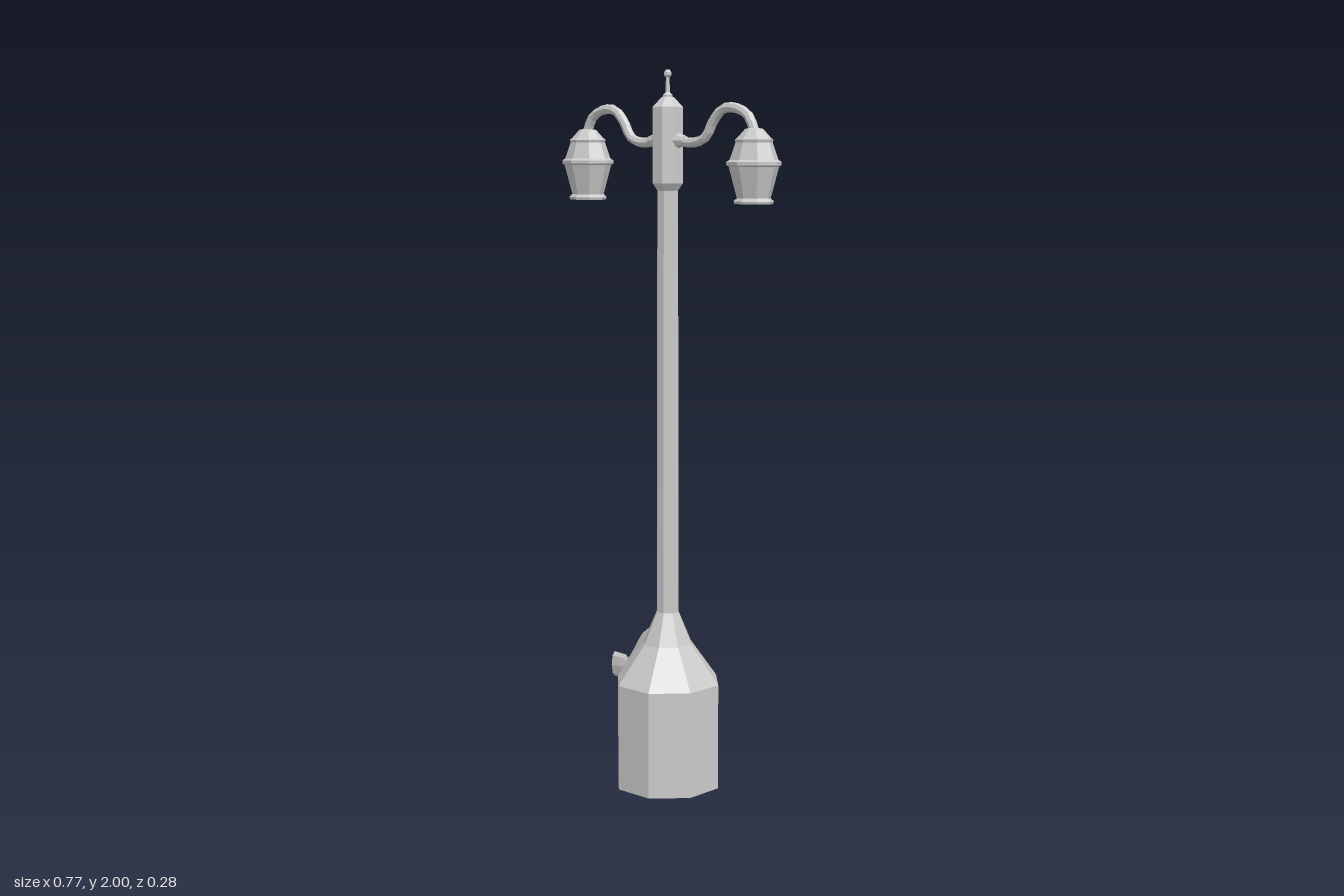
import * as THREE from 'three';

const metal = new THREE.MeshStandardMaterial({ color: 0xcccccc, flatShading: true });
const V = (x, y) => new THREE.Vector3(x, y, 0);

function add(parent, name, geometry) {
  const mesh = new THREE.Mesh(geometry, metal);
  mesh.name = name;
  parent.add(mesh);
  return mesh;
}

// Eight-sided turned part; profile radii are measured to the flats
function octagon(parent, name, profile) {
  const k = 1 / Math.cos(Math.PI / 8);
  const points = profile.map(([r, y]) => new THREE.Vector2(r * k, y));
  return add(parent, name, new THREE.LatheGeometry(points, 8, Math.PI / 8));
}

// Curved eight-sided pipe
function pipe(parent, name, points, radius, segments) {
  const curve = new THREE.CatmullRomCurve3(points.map(([x, y]) => V(x, y)));
  return add(parent, name, new THREE.TubeGeometry(curve, segments, radius, 8));
}

// Arm with its hanging lantern, built on the +x side
function createArm(side) {
  const arm = new THREE.Group();
  arm.name = side > 0 ? 'leftArm' : 'rightArm';
  pipe(arm, 'curvedArm', [
    [0.03, 1.81], [0.10, 1.805], [0.14, 1.82], [0.165, 1.86],
    [0.20, 1.893], [0.25, 1.894], [0.29, 1.873], [0.309, 1.835],
  ], 0.0135, 16);

  // Flared socket where the arm meets the head
  const socket = add(arm, 'armSocket', new THREE.CylinderGeometry(0.013, 0.022, 0.03, 8));
  socket.rotation.z = -Math.PI / 2;
  socket.position.set(0.052, 1.81, 0);

  // Lantern, slightly wider along the arm
  const profile = [
    [0, 1.645], [0.047, 1.645], [0.049, 1.652], [0.041, 1.66],
    [0.061, 1.742], [0.067, 1.746], [0.067, 1.755], [0.059, 1.76],
    [0.045, 1.805], [0.047, 1.812], [0.041, 1.817], [0.022, 1.84], [0, 1.845],
  ].map(([r, y]) => new THREE.Vector2(r, y));
  const lantern = add(arm, 'lantern', new THREE.LatheGeometry(profile, 8));
  lantern.position.x = 0.309;
  lantern.scale.x = 1.16;

  // A half turn mirrors the symmetric arm
  if (side < 0) arm.rotation.y = Math.PI;
  return arm;
}

export function createModel() {
  const model = new THREE.Group();
  model.name = 'streetLamp';

  // Pedestal and its concave shoulder
  octagon(model, 'base', [
    [0, 0], [0.14, 0], [0.14, 0.3], [0.066, 0.41], [0.03, 0.5],
  ]);
  octagon(model, 'pole', [[0.03, 0.49], [0.028, 1.7]]);
  octagon(model, 'head', [
    [0.028, 1.675], [0.041, 1.695], [0.041, 1.9], [0.016, 1.927], [0, 1.93],
  ]);
  octagon(model, 'finial', [
    [0.012, 1.92], [0.013, 1.932], [0.006, 1.94], [0.005, 1.978],
    [0.01, 1.985], [0.01, 1.993], [0.005, 2], [0, 2],
  ]);

  for (const side of [1, -1]) model.add(createArm(side));

  // Thin spout running down the shoulder to a flat knob
  const spout = new THREE.Group();
  spout.name = 'spout';
  const tube = pipe(spout, 'spoutTube', [
    [-0.045, 0.43], [-0.08, 0.407], [-0.115, 0.355], [-0.142, 0.32], [-0.172, 0.31],
  ], 0.022, 8);
  tube.scale.z = 0.5;
  const knob = add(spout, 'spoutKnob', new THREE.CylinderGeometry(0.037, 0.035, 0.046, 8));
  knob.rotation.z = Math.PI / 2;
  knob.position.set(-0.187, 0.31, 0);
  knob.scale.z = 0.34;
  model.add(spout);

  return model;
}
